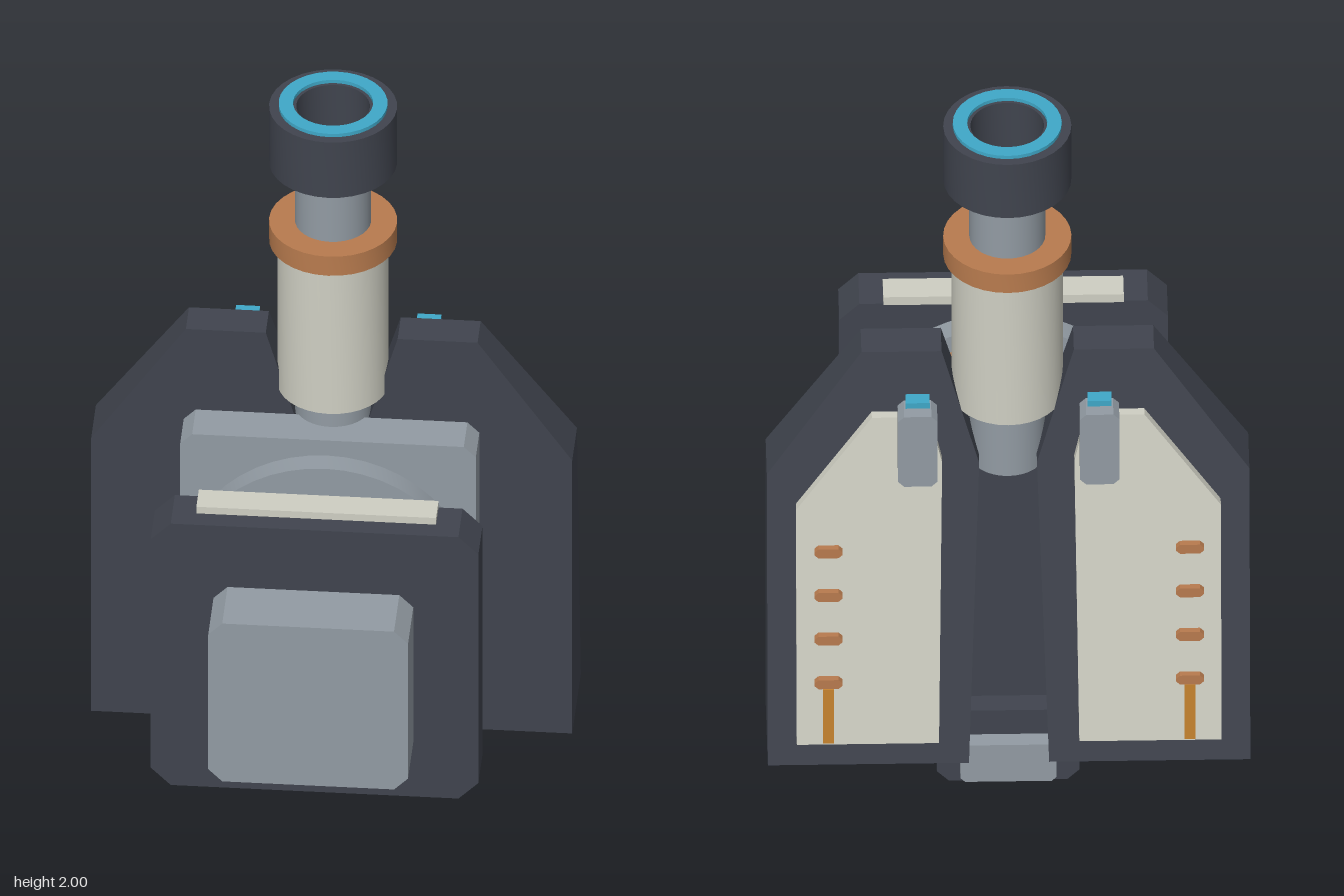
import * as THREE from 'three';
import { toCreasedNormals } from 'three/addons/utils/BufferGeometryUtils.js';

const mat = (color) => new THREE.MeshStandardMaterial({ color });

export function createModel() {
  const model = new THREE.Group();
  const dark = mat(0x40444e), steel = mat(0x929ba3), cream = mat(0xcfcfc3);
  const copper = mat(0xb87b4e), orange = mat(0xc8842f), cyan = mat(0x3fa8c8);

  const add = (name, geometry, material, x = 0, y = 0, z = 0) => {
    const mesh = new THREE.Mesh(geometry, material);
    mesh.name = name;
    mesh.position.set(x, y, z);
    model.add(mesh);
    return mesh;
  };

  const box = (name, m, x0, x1, y0, y1, z0, z1) =>
    add(name, new THREE.BoxGeometry(x1 - x0, y1 - y0, z1 - z0), m,
      (x0 + x1) / 2, (y0 + y1) / 2, (z0 + z1) / 2);

  const outline = (pts) => new THREE.Shape(pts.map(([x, y]) => new THREE.Vector2(x, y)));

  // Plate with cut corners, facing z
  const plate = (name, m, x0, x1, y0, y1, z0, z1, c) => {
    const shape = outline([
      [x0 + c, y0], [x1 - c, y0], [x1, y0 + c], [x1, y1 - c],
      [x1 - c, y1], [x0 + c, y1], [x0, y1 - c], [x0, y0 + c],
    ]);
    return add(name, new THREE.ExtrudeGeometry(shape, { depth: z1 - z0, bevelEnabled: false }), m, 0, 0, z0);
  };

  // Ring or solid disc turned around y
  const turned = (rIn, rOut, y0, y1, segments) => {
    const pts = [[rIn, y0], [rOut, y0], [rOut, y1], [rIn, y1]];
    if (rIn > 0) pts.push([rIn, y0]);
    const g = new THREE.LatheGeometry(pts.map(([r, y]) => new THREE.Vector2(r, y)), segments);
    return toCreasedNormals(g, 0.5);
  };
  const disc = (name, m, rIn, rOut, z0, z1) =>
    add(name, turned(rIn, rOut, z0, z1, 48).rotateX(Math.PI / 2), m, 0, 0.69, 0);

  // Outline whose back and front depths depend on height
  const sloped = (name, m, pts, backZ, frontZ) => {
    const g = new THREE.ExtrudeGeometry(outline(pts), { depth: 1, bevelEnabled: false });
    const p = g.attributes.position;
    for (let i = 0; i < p.count; i++) {
      const y = p.getY(i);
      p.setZ(i, p.getZ(i) > 0.5 ? frontZ(y) : backZ(y));
    }
    g.computeVertexNormals();
    return add(name, g, m);
  };

  // Front half: grip, body and coupling face
  plate('frontGrip', steel, -0.25, 0.25, 0.45, 0.93, 0.34, 0.5, 0.035);
  plate('gripNeck', dark, -0.22, 0.22, 0.48, 0.9, 0.3, 0.345, 0.03);
  plate('frontBody', dark, -0.41, 0.41, 0.295, 1.09, 0.18, 0.305, 0.05);
  box('topStrip', cream, -0.3, 0.3, 1.085, 1.11, 0.18, 0.255);
  disc('frontFlange', steel, 0, 0.367, 0.117, 0.182);
  disc('frontContactRing', copper, 0.26, 0.322, 0.093, 0.12);
  for (let i = 0; i < 8; i++) {
    const a = (i * Math.PI) / 4;
    const g = new THREE.CylinderGeometry(0.018, 0.018, 0.025, 12).rotateX(Math.PI / 2);
    add('stud', toCreasedNormals(g, 0.6), orange,
      0.338 * Math.cos(a), 0.69 + 0.338 * Math.sin(a), 0.108);
  }

  // Rear half: coupling face, carrier and spine
  disc('rearFlange', steel, 0, 0.36, -0.08, -0.022);
  disc('rearSeal', dark, 0, 0.325, -0.105, -0.08);
  plate('carrierPlate', steel, -0.37, 0.37, 0.21, 1.08, -0.21, -0.102, 0.03);
  box('backingPlate', dark, -0.27, 0.27, 0.27, 1.02, -0.225, -0.205);
  box('spine', dark, -0.1, 0.1, 0.2, 0.96, -0.3, -0.205);

  // Foot
  plate('foot', dark, -0.178, 0.178, 0, 0.22, -0.36, -0.132, 0.03);
  plate('footPad', steel, -0.12, 0.12, 0.03, 0.145, -0.405, -0.355, 0.012);

  // Side wings with rear panels, latches and vents
  const wingBack = (y) => -0.31 - 0.1404 * (1.32 - y);
  const panelBack = (y) => wingBack(y) - 0.025;
  for (const s of [1, -1]) {
    const side = s > 0 ? 'left' : 'right';
    const mirror = (pts) => pts.map(([x, y]) => [s * x, y]);
    const span = (a, b) => (s > 0 ? [a, b] : [-b, -a]);
    sloped(side + 'Wing', dark, mirror([
      [0.1, 0.145], [0.602, 0.145], [0.602, 0.975], [0.365, 1.32], [0.165, 1.32], [0.072, 1.0],
    ]), wingBack, () => -0.215);
    sloped(side + 'Panel', cream, mirror([
      [0.175, 0.22], [0.53, 0.22], [0.53, 0.89], [0.34, 1.15], [0.195, 1.15], [0.165, 1.02],
    ]), panelBack, (y) => wingBack(y) + 0.005);

    plate(side + 'Latch', steel, ...span(0.178, 0.276), 1.0, 1.22, -0.448, -0.38, 0.015);
    box(side + 'LatchLight', cyan, ...span(0.197, 0.257), 1.233, 1.25, -0.43, -0.393);

    for (const y of [0.415, 0.553, 0.691, 0.829]) {
      plate(side + 'Vent', copper, ...span(0.416, 0.486), y - 0.014, y + 0.014, -0.497, -0.48, 0.01);
    }
    box(side + 'VentBar', orange, ...span(0.437, 0.465), 0.225, 0.395, -0.492, -0.482);
  }

  // Hollow column with collar and knob
  const column = (name, m, rIn, rOut, y0, y1) =>
    add(name, turned(rIn, rOut, y0, y1, 32), m, 0, 0, -0.257);
  column('innerTube', steel, 0.065, 0.095, 0.955, 1.84);
  column('sleeve', cream, 0.09, 0.139, 1.15, 1.59);
  column('collar', copper, 0.09, 0.16, 1.585, 1.643);
  column('knob', dark, 0.092, 0.16, 1.822, 1.99);
  column('knobRing', cyan, 0.1, 0.136, 1.98, 2.0);

  return model;
}
